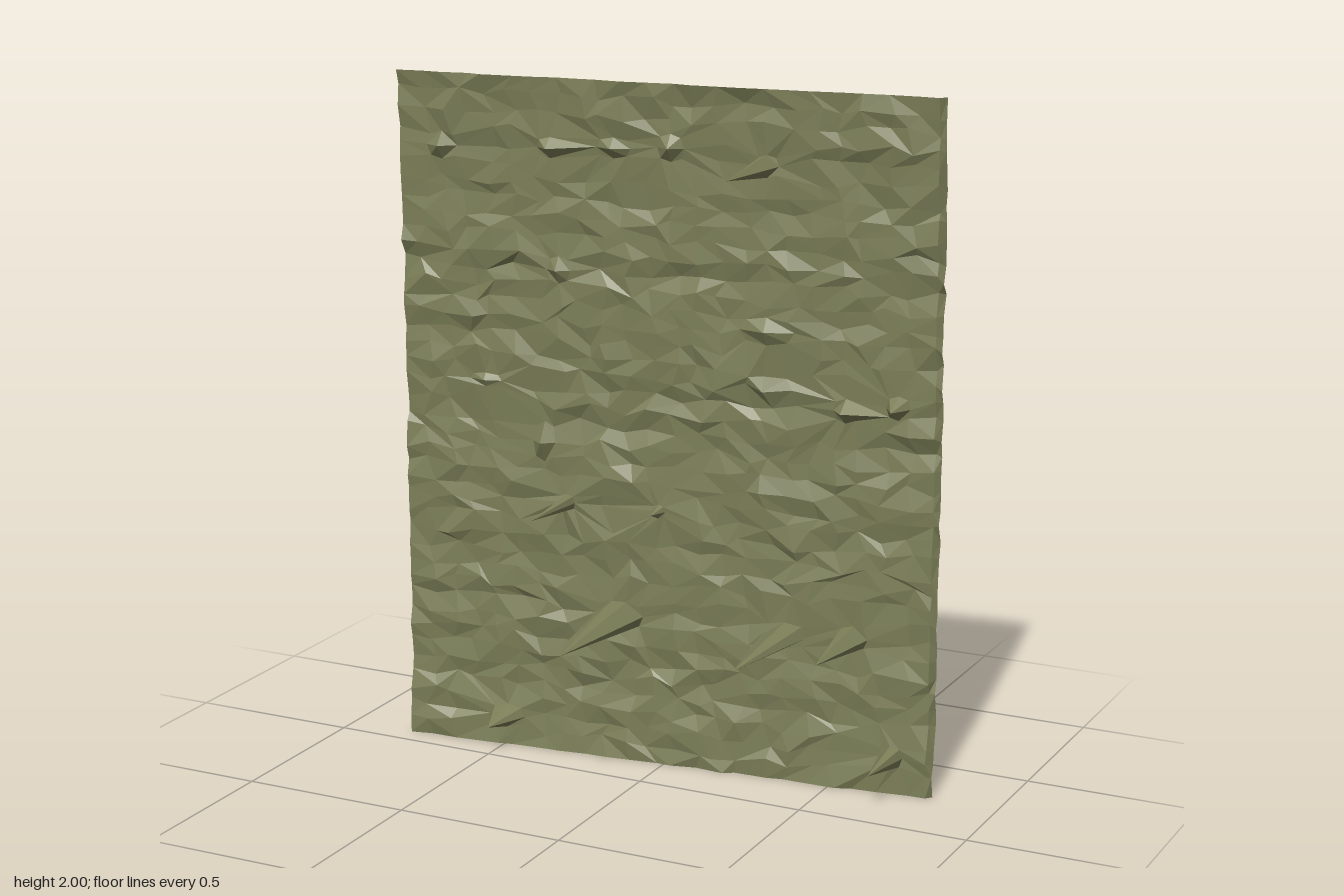
import * as THREE from 'three';

const COLS = 24, ROWS = 40, DX = 1.585 / 23, DY = 2 / ROWS;

function seeded(seed) {
  return () => {
    seed = (seed * 1664525 + 1013904223) % 4294967296;
    return seed / 4294967296 * 2 - 1;
  };
}

// Gentle backward bow of the sheet, sampled every 0.2 up its height
const BOW = [-0.15, -0.16, -0.165, -0.165, -0.16, -0.166, -0.16, -0.156, -0.157, -0.15, -0.133];
function sheetZ(x, y) {
  const t = Math.min(Math.max(y / 0.2, 0), 9.999), k = Math.floor(t);
  return THREE.MathUtils.lerp(BOW[k], BOW[k + 1], t - k) - 0.106 * x;
}

// Hollow spikes: x, y, tip z, base radii in x and y, optional second tip x and z
const SPIKES = [
  [-0.12, 0.44, 0.26, 0.05, 0.04, -0.165, 0.15],
  [0.36, 0.435, 0.15, 0.065, 0.04],
  [0.56, 0.45, 0.045, 0.045, 0.035],
  [-0.49, 0.09, 0.02, 0.055, 0.035],
  [0.68, 0.11, -0.06, 0.035, 0.035],
  [-0.3, 0.765, 0.09, 0.025, 0.025],
  [-0.02, 0.765, -0.11, 0.02, 0.02],
  [0.3, 1.785, 0.085, 0.032, 0.032],
  [-0.67, 1.79, -0.05, 0.045, 0.04],
  [-0.34, 1.8, -0.085, 0.04, 0.03],
  [-0.15, 1.81, -0.11, 0.05, 0.03],
  [0.02, 1.82, -0.125, 0.04, 0.04],
  [-0.32, 1.45, -0.1, 0.035, 0.04],
  [-0.37, 0.94, -0.095, 0.035, 0.06],
  [0.53, 1.11, -0.175, 0.035, 0.035],
  [0.68, 1.13, -0.175, 0.035, 0.035],
  [0.3, 1.32, -0.165, 0.08, 0.04],
  [-0.55, 1.11, -0.09, 0.05, 0.02],
];

function sheetGeometry() {
  const rand = seeded(71);
  const grid = [];
  // Rumpled grid with a narrow turned-back strip along the last column
  for (let j = 0; j <= ROWS; j++) {
    const crease = rand() * 0.005;
    for (let i = 0; i <= COLS; i++) {
      const inX = i > 0 && i < COLS - 1, inY = j > 0 && j < ROWS;
      const x = i === COLS ? 0.8 : -0.8 + i * DX + (inX ? rand() * 0.022 : 0);
      const y = j * DY + (inY ? rand() * 0.016 : 0);
      const turn = i === COLS ? -0.014 : 0;
      grid.push([x, y, sheetZ(x, y) + crease + rand() * 0.009 + turn]);
    }
  }
  const id = (i, j) => j * (COLS + 1) + i;

  // Gather a ring of vertices round each spike and pull its middle forward
  for (const [x, y, z, rx, ry, x2, z2] of SPIKES) {
    const ci = Math.round((x + 0.8) / DX), cj = Math.round(y / DY);
    const first = x2 === undefined ? -1 : -2;
    for (let dj = -1; dj <= 1; dj++) {
      for (let di = first; di <= 1; di++) {
        const v = grid[id(ci + di, cj + dj)];
        if (dj === 0 && di === 0) v.splice(0, 3, x, y, z);
        else if (dj === 0 && di > first && di < 0) v.splice(0, 3, x2, y - 0.005, z2);
        else {
          const middle = di < 0 && x2 !== undefined ? x2 : x;
          const side = di === first ? -1 : di > 0 ? 1 : 0;
          const s = side && dj ? 0.75 : 1;
          const px = middle + side * rx * s, py = y + dj * ry * s;
          v.splice(0, 3, px, py, sheetZ(px, py) + rand() * 0.004);
        }
      }
    }
  }

  // Triangles with irregular diagonals
  const index = [];
  for (let j = 0; j < ROWS; j++) {
    for (let i = 0; i < COLS; i++) {
      const a = id(i, j), b = id(i + 1, j), c = id(i + 1, j + 1), d = id(i, j + 1);
      if (rand() > 0) index.push(a, b, c, a, c, d);
      else index.push(a, b, d, b, c, d);
    }
  }
  const geometry = new THREE.BufferGeometry();
  geometry.setAttribute('position', new THREE.Float32BufferAttribute(grid.flat(), 3));
  geometry.setIndex(index);
  const flat = geometry.toNonIndexed();
  flat.computeVertexNormals();
  return flat;
}

export function createModel() {
  const model = new THREE.Group();
  model.name = 'spikedSheet';
  const olive = new THREE.MeshStandardMaterial({ color: 0x7c7f58, flatShading: true, side: THREE.DoubleSide });
  olive.name = 'olive';
  const sheet = new THREE.Mesh(sheetGeometry(), olive);
  sheet.name = 'rumpledSheet';
  model.add(sheet);
  return model;
}
